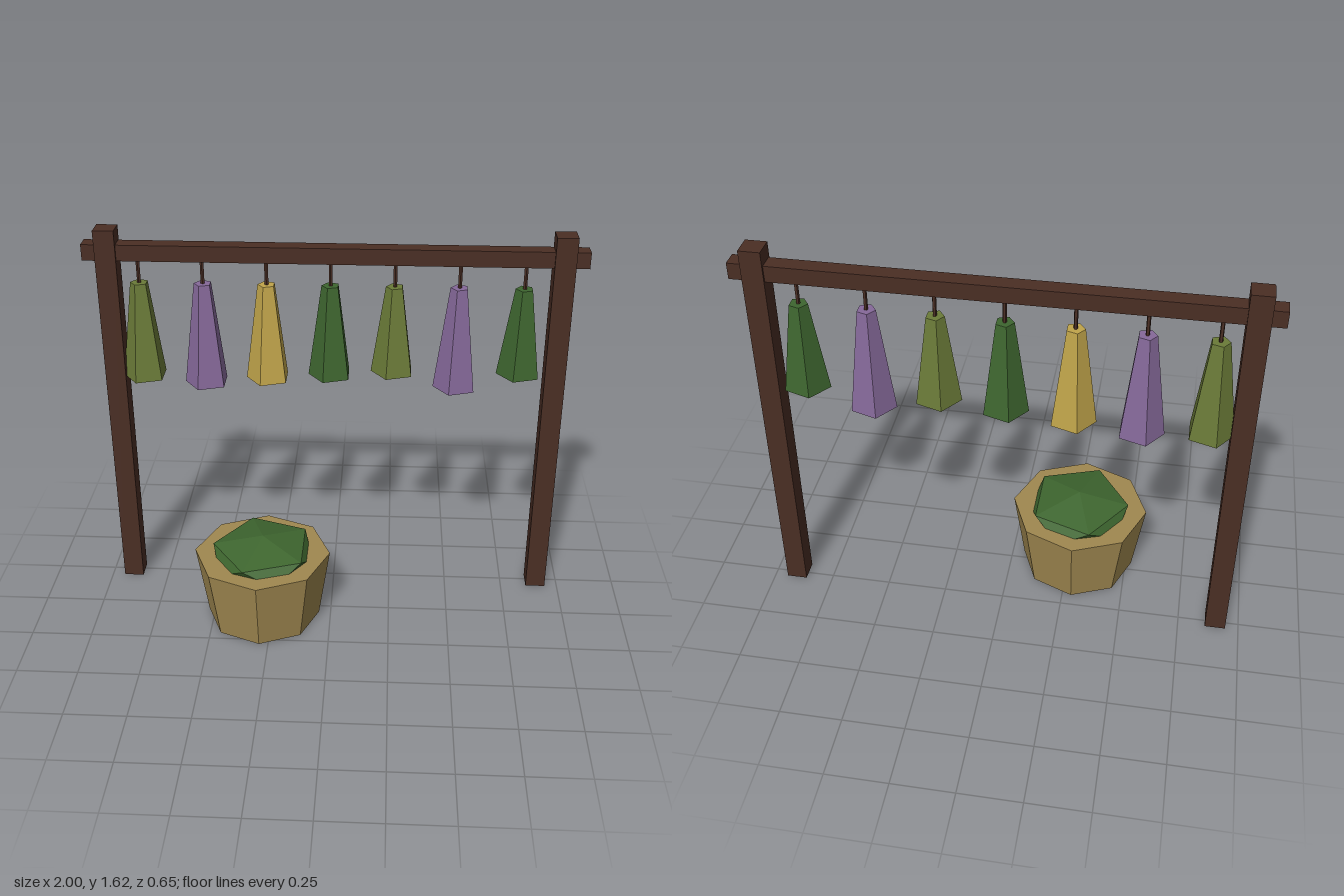
import * as THREE from 'three';
import { ConvexGeometry } from 'three/addons/geometries/ConvexGeometry.js';

function material(name, color) {
  const m = new THREE.MeshStandardMaterial({ color, flatShading: true });
  m.name = name;
  return m;
}

export function createModel() {
  const wood = material('dark wood', 0x4a2e24);
  const wicker = material('wicker', 0xa08850);
  const leaf = material('leaf green', 0x3e662f);
  const olive = material('olive green', 0x6b7b38);
  const purple = material('lavender purple', 0x86699a);
  const gold = material('straw gold', 0xc0a44a);

  const group = new THREE.Group();
  group.name = 'herbDryingRack';
  const add = (name, geometry, mat, x, y, z, parent = group) => {
    const mesh = new THREE.Mesh(geometry, mat);
    mesh.name = name;
    mesh.position.set(x, y, z);
    parent.add(mesh);
    return mesh;
  };

  // Frame: two posts and a crossbar
  const rackZ = -0.24;
  for (const side of [-1, 1]) {
    add(side > 0 ? 'leftPost' : 'rightPost',
      new THREE.BoxGeometry(0.084, 1.62, 0.084), wood, side * 0.904, 0.81, rackZ);
  }
  add('crossbar', new THREE.BoxGeometry(2, 0.066, 0.066), wood, 0, 1.527, rackZ);

  // Hanging bunches: five-sided tapers on short strings
  const bunches = [
    [olive, 0.41], [purple, 0.435], [gold, 0.41], [leaf, 0.39],
    [olive, 0.37], [purple, 0.435], [leaf, 0.37],
  ];
  const bunchTop = 1.395;
  bunches.forEach(([mat, height], i) => {
    const bunch = new THREE.Group();
    bunch.name = `hangingBunch${i + 1}`;
    bunch.position.set(-0.784 + i * 0.257, bunchTop, rackZ);
    group.add(bunch);
    const taper = new THREE.CylinderGeometry(0.037, 0.092, height, 5).rotateY(-Math.PI / 2);
    add('herbs', taper, mat, 0, -height / 2, 0, bunch);
    add('string', new THREE.CylinderGeometry(0.008, 0.008, 0.12, 5), wood, 0, 0.05, 0, bunch);
  });

  // Basket: eight-sided tub, wider at the rim
  const bx = -0.288, bz = 0.042;
  add('basket', new THREE.CylinderGeometry(0.285, 0.238, 0.305, 8), wicker, bx, 0.1525, bz);

  // Basket filling: squashed icosahedron standing on a corner
  const points = [new THREE.Vector3(0, 0.081, 0), new THREE.Vector3(0, -0.081, 0)];
  for (let i = 0; i < 5; i++) {
    for (const s of [1, -1]) {
      const a = (i * 2 * Math.PI) / 5;
      points.push(new THREE.Vector3(-s * 0.21 * Math.cos(a), s * 0.036, s * 0.222 * Math.sin(a)));
    }
  }
  add('basketHerbs', new ConvexGeometry(points), leaf, bx + 0.003, 0.301, bz - 0.002);

  return group;
}
